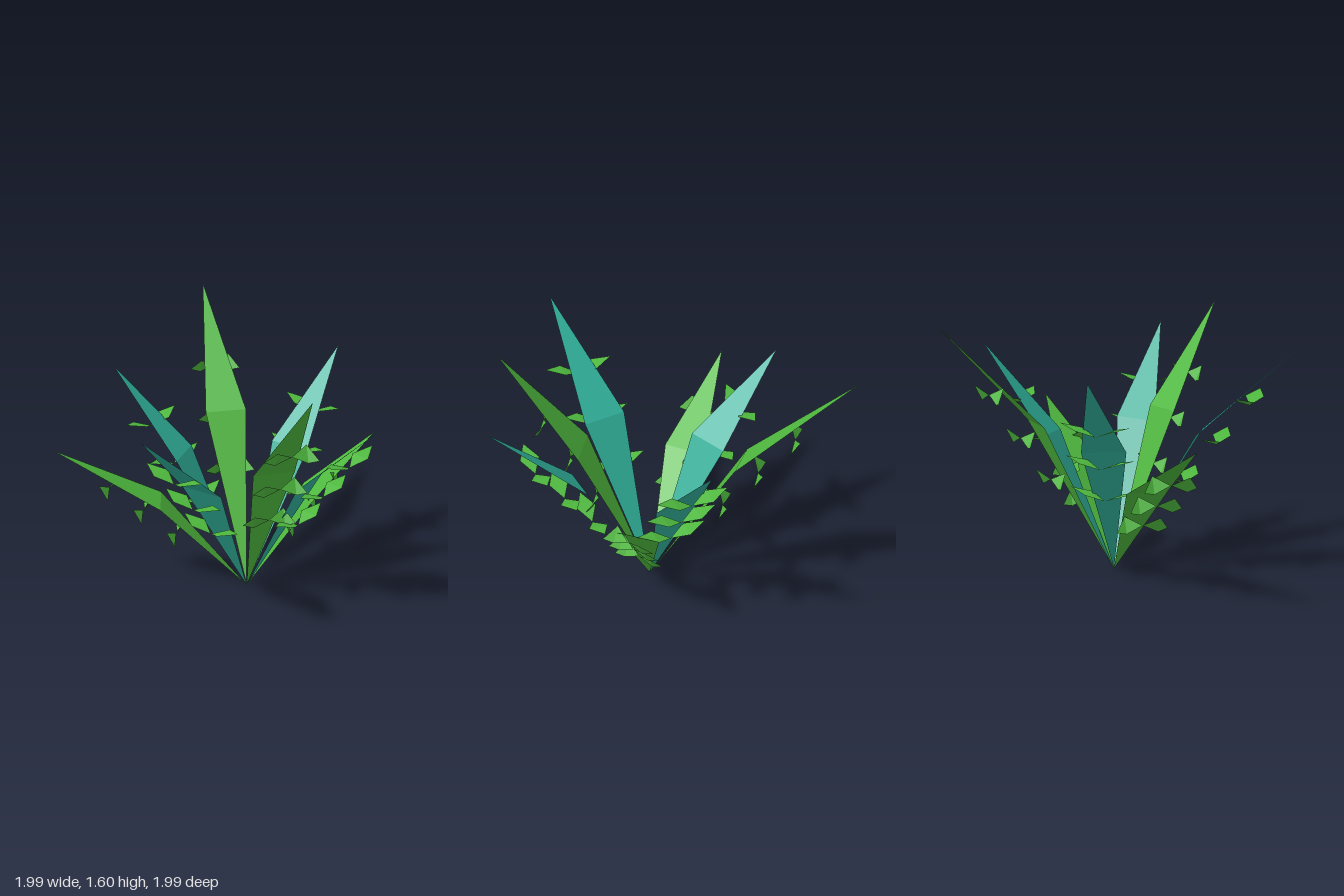
import * as THREE from 'three';

const V = (x, y, z) => new THREE.Vector3(x, y, z);

// Flat triangles from a list of corner points
function facets(name, points, material) {
  const geometry = new THREE.BufferGeometry().setFromPoints(points);
  geometry.computeVertexNormals();
  const mesh = new THREE.Mesh(geometry, material);
  mesh.name = name;
  return mesh;
}

export function createModel() {
  const plant = new THREE.Group();
  plant.name = 'spikyPlant';

  const teal = new THREE.MeshStandardMaterial({ color: 0x30b09a, side: THREE.DoubleSide, flatShading: true });
  teal.name = 'teal';
  const green = new THREE.MeshStandardMaterial({ color: 0x4eb83e, side: THREE.DoubleSide, flatShading: true });
  green.name = 'leafGreen';

  const base = V(0.12, 0, -0.03);

  // Each blade: tip, the two corners of its widest line, and the horizontal axis of its leaflets
  const straight = [
    { name: 'leftBlade', tip: V(-1, 1.43, 0.19), a: V(-0.41, 0.87, -0.07), b: V(-0.37, 0.87, 0.2), side: V(0, 0, 1) },
    { name: 'rightBlade', tip: V(0.99, 1.36, -0.03), a: V(0.52, 0.82, -0.17), b: V(0.53, 0.82, 0.1), side: V(0, 0, 1) },
    { name: 'frontBlade', tip: V(0.2, 1.4, 0.99), a: V(0.03, 0.84, 0.43), b: V(0.28, 0.86, 0.42), side: V(1, 0, 0) },
    { name: 'backBlade', tip: V(-0.1, 1.31, -0.94), a: V(-0.11, 0.82, -0.4), b: V(0.13, 0.82, -0.5), side: V(1, 0, 0) },
  ];
  const diagonal = [
    { name: 'backRightBlade', tip: V(0.79, 1.6, -1), a: V(0.33, 0.96, -0.56), b: V(0.52, 0.97, -0.39), side: V(1, 0, 1) },
    { name: 'frontLeftBlade', tip: V(-0.25, 1.58, 0.76), a: V(-0.16, 0.95, 0.26), b: V(0.05, 0.95, 0.4), side: V(1, 0, 1) },
    { name: 'backLeftBlade', tip: V(-0.7, 0.96, -0.86), a: V(-0.34, 0.6, -0.32), b: V(-0.15, 0.6, -0.5), side: V(1, 0, -1) },
    { name: 'frontRightBlade', tip: V(0.78, 0.97, 0.43), a: V(0.36, 0.6, 0.29), b: V(0.53, 0.6, 0.08), side: V(1, 0, -1) },
  ];

  // Folded diamond leaflet lying flat, tip turned up
  function flatLeaflet(root, side, sign) {
    const across = V(side.z, 0, side.x).multiplyScalar(0.058);
    const out = (l, y) => root.clone().addScaledVector(side, l * sign).add(V(0, y, 0));
    const middle = out(0.1, 0.04);
    return [root, middle.clone().add(across), middle.clone().sub(across), out(0.215, 0.07)];
  }

  // Folded diamond leaflet standing upright beside a diagonal blade
  function uprightLeaflet(root, side, sign) {
    const at = (x, y, z) => root.clone().add(V(x * side.x * sign, y, z * side.z * sign));
    return [root, at(0.105, 0.05, 0.02), at(0.075, -0.045, 0.06), at(0.115, -0.03, 0.11)];
  }

  function addBlade({ name, tip, a, b, side }, material, leaflet) {
    const group = new THREE.Group();
    group.name = name;
    // Blade bent at its widest line
    group.add(facets('blade', [base, b, a, a, b, tip], material));
    // Three pairs of leaflets along the straight line from base to tip
    for (const t of [0.375, 0.545, 0.715]) {
      const root = base.clone().lerp(tip, t).add(V(0, 0.02, 0));
      for (const sign of [-1, 1]) {
        const [r, p, q, end] = leaflet(root, side, sign);
        group.add(facets('leaflet', [r, p, q, q, p, end], green));
      }
    }
    plant.add(group);
  }

  straight.forEach((blade) => addBlade(blade, teal, flatLeaflet));
  diagonal.forEach((blade) => addBlade(blade, green, uprightLeaflet));
  return plant;
}
